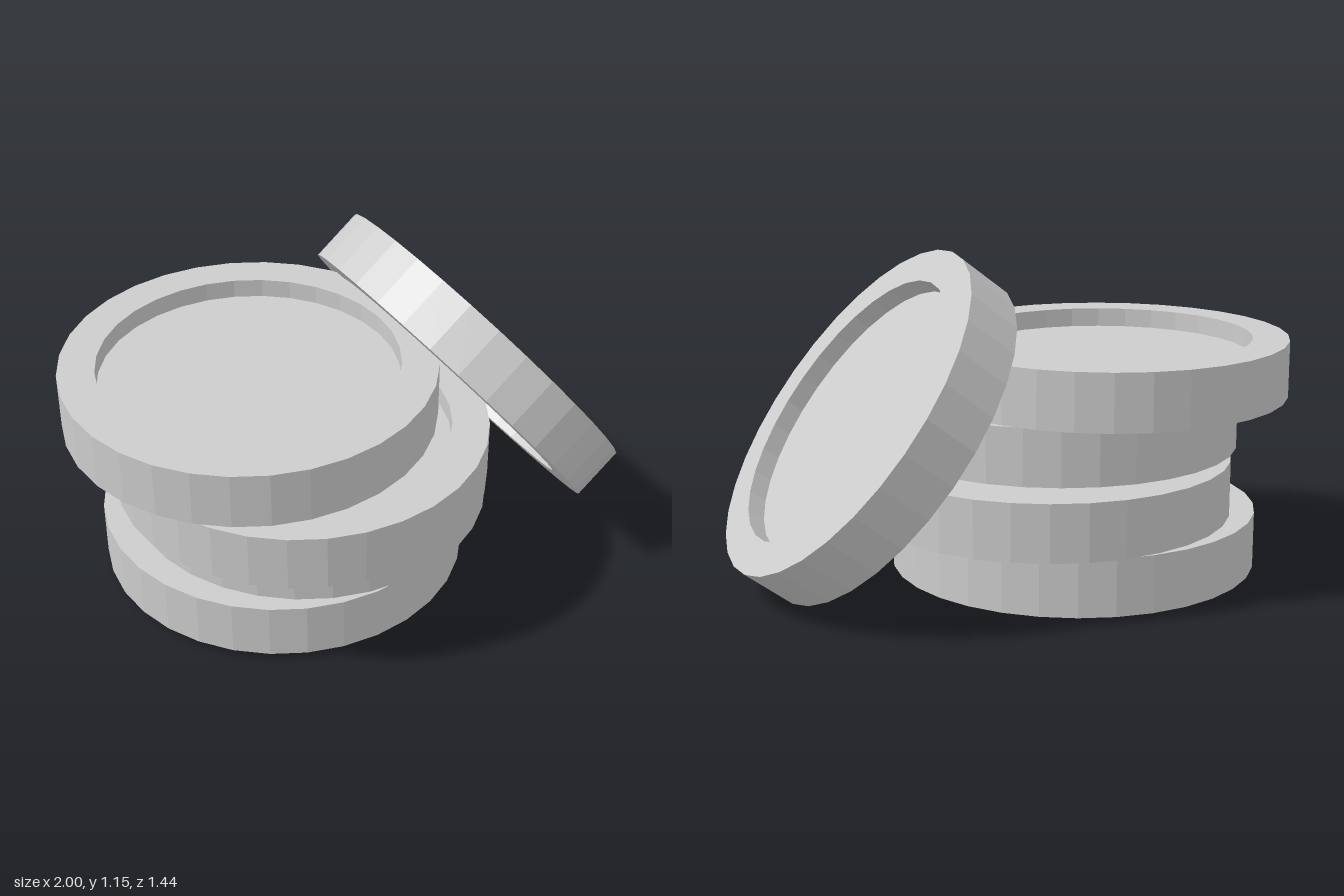
import * as THREE from 'three';

const RADIUS = 0.648, INNER = 0.52, HALF = 0.1, FLOOR = 0.032, SIDES = 32;

export function createModel() {
  const model = new THREE.Group();
  model.name = 'coinPile';

  const grey = new THREE.MeshStandardMaterial({ color: 0xcccccc, flatShading: true });
  grey.name = 'light grey';

  // Disc with a raised rim around a recess on both faces
  const profile = [
    [0, -FLOOR], [INNER, -FLOOR], [INNER, -HALF], [RADIUS, -HALF],
    [RADIUS, HALF], [INNER, HALF], [INNER, FLOOR], [0, FLOOR],
  ].map(([x, y]) => new THREE.Vector2(x, y));
  const coinGeometry = new THREE.LatheGeometry(profile, SIDES);

  function addCoin(name, x, y, z, tilt = 0) {
    const coin = new THREE.Mesh(coinGeometry, grey);
    coin.name = name;
    coin.position.set(x, y, z);
    coin.rotation.z = tilt;
    model.add(coin);
  }

  // Loose stack, bottom to top
  [
    [-0.232, 0.123, -0.07],
    [-0.132, 0.321, -0.07],
    [-0.232, 0.525, 0.07],
    [-0.352, 0.73, -0.07],
  ].forEach((p, i) => addCoin('stackedCoin' + (i + 1), ...p));

  // Coin leaning against the stack
  addCoin('leaningCoin', 0.523, 0.574, -0.027, -0.913);

  return model;
}
